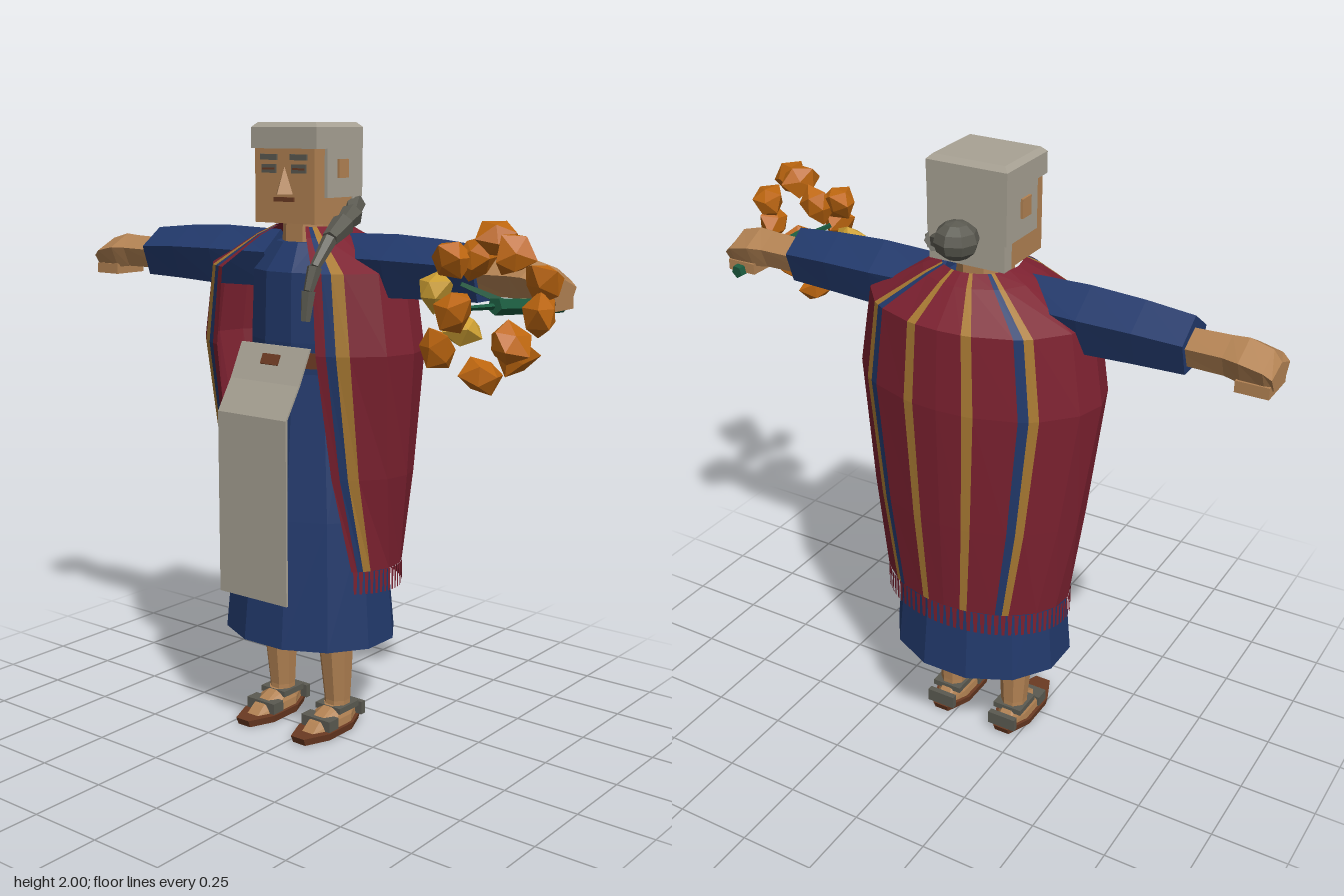
import * as THREE from 'three';

const CX = -0.075, CZ = -0.08, D = Math.PI / 180;

const mat = (name, color, side = THREE.FrontSide) => {
  const m = new THREE.MeshStandardMaterial({ color, side });
  m.name = name;
  return m;
};

// Faceted normals for any geometry
function flat(g) {
  const f = g.index ? g.toNonIndexed() : g;
  f.computeVertexNormals();
  return f;
}

function fromPoints(points) {
  const g = new THREE.BufferGeometry().setFromPoints(points);
  g.computeVertexNormals();
  return g;
}

// Skin closed rings of equal point count, optionally capping both ends
function loft(rings, capStart = true, capEnd = true) {
  const p = [], n = rings[0].length;
  for (let i = 0; i + 1 < rings.length; i++) for (let j = 0; j < n; j++) {
    const k = (j + 1) % n, A = rings[i], B = rings[i + 1];
    p.push(A[j], A[k], B[k], A[j], B[k], B[j]);
  }
  const last = rings[rings.length - 1];
  for (let j = 1; j < n - 1; j++) {
    if (capStart) p.push(rings[0][0], rings[0][j + 1], rings[0][j]);
    if (capEnd) p.push(last[0], last[j], last[j + 1]);
  }
  return fromPoints(p);
}

// Rings stacked in y: [y, halfWidth, halfDepth, centreX, centreZ]
const upright = (sections, n) => sections.map(([y, a, b, cx, cz]) =>
  Array.from({ length: n }, (_, j) => {
    const t = (j + 0.5) / n * Math.PI * 2, k = 1 / Math.cos(Math.PI / n);
    return new THREE.Vector3(cx + a * k * Math.sin(t), y, cz + b * k * Math.cos(t));
  }));

// Pentagon rings along an arm: [distance from body axis, centreY, ry, rz]
const sideways = (sections, s) => sections.map(([u, cy, ry, rz]) => {
  const r = Array.from({ length: 5 }, (_, j) => {
    const t = j / 5 * Math.PI * 2;
    return new THREE.Vector3(CX + s * u, cy + ry * Math.cos(t), -0.075 + rz * Math.sin(t));
  });
  return s > 0 ? r : r.reverse();
});

export function createModel() {
  const model = new THREE.Group();
  model.name = 'figure';
  const M = {
    skin: mat('skin', 0xb28253),
    pale: mat('pale grey', 0xa8a294, THREE.DoubleSide),
    dark: mat('dark grey', 0x5b5a51),
    blue: mat('dress blue', 0x22396b, THREE.DoubleSide),
    red: mat('shawl red', 0x7c2130, THREE.DoubleSide),
    ochre: mat('stripe ochre', 0xa97a33, THREE.DoubleSide),
    brown: mat('leather brown', 0x6b3a22),
    orange: mat('petal orange', 0xbd660f),
    yellow: mat('petal yellow', 0xcd9f33),
    green: mat('stem green', 0x1c5c40),
  };
  const add = (name, g, m, x = 0, y = 0, z = 0) => {
    const o = new THREE.Mesh(g, m);
    o.name = name;
    o.position.set(x, y, z);
    model.add(o);
    return o;
  };
  // Box given by its limits
  const box = (name, m, x0, x1, y0, y1, z0, z1) => add(name,
    new THREE.BoxGeometry(x1 - x0, y1 - y0, z1 - z0), m, (x0 + x1) / 2, (y0 + y1) / 2, (z0 + z1) / 2);
  const rod = (name, m, a, b, r0, r1, n = 5) => {
    const d = b.clone().sub(a), o = add(name, flat(new THREE.CylinderGeometry(r1, r0, d.length(), n)), m);
    o.position.copy(a).lerp(b, 0.5);
    o.quaternion.setFromUnitVectors(new THREE.Vector3(0, 1, 0), d.normalize());
    return o;
  };
  const V = (x, y, z) => new THREE.Vector3(x, y, z);

  // Dress, open at the hem
  add('dress', loft(upright([
    [0.33, 0.295, 0.25, CX, CZ], [0.75, 0.26, 0.21, CX, CZ], [1.22, 0.2, 0.16, CX, CZ],
    [1.32, 0.2, 0.165, CX, CZ], [1.54, 0.19, 0.16, CX, CZ], [1.63, 0.11, 0.1, CX, CZ],
  ], 12), false), M.blue);

  // Belt, apron and clasp
  add('belt', loft(upright([[1.24, 0.207, 0.17, CX, CZ], [1.29, 0.21, 0.172, CX, CZ]], 12)), M.brown);
  const path = [[1.31, 0.1], [1.2, 0.155], [1.1, 0.218], [0.5, 0.218]];
  add('apron', loft(path.map(([y, z]) => [V(CX + 0.14, y, z - 0.008), V(CX - 0.14, y, z - 0.008),
    V(CX - 0.14, y, z), V(CX + 0.14, y, z)])), M.pale);
  const clasp = box('clasp', M.brown, CX - 0.035, CX + 0.035, 1.25, 1.285, 0.119, 0.127);
  clasp.rotation.x = -0.46;

  // Striped shawl: levels are [y, halfWidth, halfDepth, centreZ, front edge angle from the back]
  const levels = [[1.68, 0.12, 0.12, -0.09, 152], [1.65, 0.185, 0.165, -0.085, 150], [1.55, 0.365, 0.262, -0.085, 150],
    [1.3, 0.405, 0.273, -0.087, 150], [0.9, 0.36, 0.24, -0.106, 143], [0.59, 0.32, 0.22, -0.11, 128]];
  const onShawl = ([y, a, b, cz, edge], deg) => {
    const t = deg / 150 * edge * D;
    return V(CX + a * Math.sin(t), y, cz - b * Math.cos(t));
  };
  const stops = [0, 12, 17, 37, 42, 47, 70, 90, 112, 133, 140, 145, 150];
  const tones = ['red', 'ochre', 'red', 'blue', 'ochre', 'red', 'red', 'red', 'red', 'ochre', 'blue', 'red'];
  const cloth = { red: [], ochre: [], blue: [] };
  for (const s of [1, -1]) tones.forEach((tone, j) => {
    const [d0, d1] = s > 0 ? [stops[j + 1], stops[j]] : [-stops[j], -stops[j + 1]];
    for (let i = 0; i + 1 < levels.length; i++) {
      const a = onShawl(levels[i], d0), b = onShawl(levels[i], d1);
      const c = onShawl(levels[i + 1], d1), d = onShawl(levels[i + 1], d0);
      cloth[tone].push(a, b, c, a, c, d);
    }
  });
  for (const tone in cloth) add(`shawl ${tone}`, fromPoints(cloth[tone]), M[tone]);

  // Fringe of tapered tabs
  const fringe = [], hem = levels[levels.length - 1], low = [0.515, ...hem.slice(1)];
  for (let d = -150; d < 149; d += 5) {
    const a = onShawl(hem, d + 3.6), b = onShawl(hem, d), c = onShawl(low, d + 0.7), e = onShawl(low, d + 2.9);
    fringe.push(a, b, c, a, c, e);
  }
  add('fringe', fromPoints(fringe), M.red);

  for (const s of [1, -1]) {
    // Sleeves and hands
    add('sleeve', loft(sideways([[0.12, 1.56, 0.1, 0.09], [0.35, 1.56, 0.105, 0.105],
      [0.52, 1.56, 0.097, 0.1], [0.67, 1.555, 0.088, 0.09]], s)), M.blue);
    add('hand', loft(sideways([[0.6, 1.55, 0.055, 0.068], [0.78, 1.552, 0.058, 0.075], [0.83, 1.55, 0.064, 0.088],
      [0.9, 1.537, 0.058, 0.085], [0.925, 1.525, 0.038, 0.075]], s)), M.skin);
    const u = CX + s * 0.87;
    box('fingers', M.skin, u - 0.05, u + 0.05, 1.475, 1.51, -0.14, -0.01);

    // Legs and sandals
    const x = CX + s * 0.12;
    add('leg', loft(upright([[0.04, 0.042, 0.042, x, -0.075], [0.1, 0.042, 0.04, x, -0.075],
      [0.3, 0.056, 0.055, x, -0.065], [0.45, 0.06, 0.06, x, -0.065]], 8)), M.skin);
    add('foot', loft(upright([[0.022, 0.055, 0.12, x, -0.03], [0.05, 0.052, 0.1, x, -0.045],
      [0.085, 0.038, 0.045, x, -0.07]], 8)), M.skin);
    add('sole', loft(upright([[0, 0.062, 0.145, x, -0.015], [0.025, 0.066, 0.155, x, -0.015]], 8)), M.brown);
    box('toe strap', M.dark, x - 0.06, x + 0.06, 0.022, 0.062, -0.005, 0.045);
    box('ankle strap', M.dark, x - 0.052, x + 0.052, 0.065, 0.085, -0.125, -0.022);
    box('heel strap', M.dark, x - 0.05, x + 0.05, 0.025, 0.07, -0.165, -0.145);

    // Eyes, brows and ears
    const e = CX + s * 0.06;
    box('eye', M.dark, e - 0.028, e + 0.028, 1.845, 1.872, 0.046, 0.056);
    box('brow', M.dark, e - 0.032, e + 0.032, 1.885, 1.903, 0.046, 0.058);
    box('eyelid', M.brown, e - 0.024, e + 0.024, 1.855, 1.861, 0.05, 0.058);
    const h = CX + s * 0.134;
    box('ear', M.skin, h - 0.005, h + 0.005, 1.83, 1.888, -0.1, -0.05);
  }

  // Head
  add('neck', loft(upright([[1.58, 0.085, 0.075, CX, -0.07], [1.72, 0.08, 0.07, CX, -0.07]], 8)), M.skin);
  box('face', M.skin, CX - 0.12, CX + 0.12, 1.69, 1.94, -0.14, 0.05);
  const nose = add('nose', flat(new THREE.ConeGeometry(0.037, 0.085, 4)), M.skin, CX, 1.823, 0.05);
  nose.scale.x = 0.9;
  box('mouth', M.brown, CX - 0.04, CX + 0.04, 1.757, 1.771, 0.046, 0.056);

  // Hair, bun and braid
  box('back hair', M.pale, CX - 0.131, CX + 0.131, 1.77, 1.94, -0.18, 0);
  box('nape hair', M.pale, CX - 0.125, CX + 0.125, 1.69, 1.78, -0.18, -0.138);
  add('hair cap', loft(upright([[1.92, 0.132, 0.118, CX, -0.063], [1.985, 0.132, 0.118, CX, -0.063],
    [2, 0.117, 0.103, CX, -0.063]], 4)), M.pale);
  const bun = add('bun', flat(new THREE.SphereGeometry(0.068, 8, 6)), M.dark, CX, 1.785, -0.235);
  bun.scale.y = 0.85;
  const braid = [V(-0.06, 1.765, -0.22), V(0.03, 1.745, -0.17), V(0.075, 1.715, -0.1), V(0.095, 1.69, -0.03),
    V(0.112, 1.65, 0.06), V(0.117, 1.57, 0.14), V(0.115, 1.5, 0.168), V(0.113, 1.41, 0.18)];
  for (let i = 0; i + 1 < braid.length; i++)
    rod('braid', M.dark, braid[i], braid[i + 1], 0.024 + (i < 4 ? 0.014 : 0), i < 4 ? 0.026 : 0.016, 6);

  // Bouquet in the left hand: [x, y, z, is yellow]
  const blooms = [[0.64, 1.635, 0.2], [0.7, 1.63, 0.15], [0.78, 1.69, 0.18], [0.88, 1.655, 0.26], [0.935, 1.585, 0.2],
    [0.94, 1.5, 0.22], [0.88, 1.425, 0.28], [0.86, 1.38, 0.2], [0.75, 1.315, 0.2], [0.61, 1.38, 0.2],
    [0.74, 1.51, 0.32], [0.65, 1.43, 0.15, 1], [0.56, 1.53, 0.14, 1]];
  const grip = V(0.77, 1.5, 0.08);
  blooms.forEach(([x, y, z, y2], i) => {
    const g = new THREE.IcosahedronGeometry(0.056, 0), p = g.attributes.position;
    for (let k = 0; k < p.count; k++) {
      const q = new THREE.Vector3().fromBufferAttribute(p, k);
      const w = 1 + 0.22 * Math.sin(q.x * 90 + q.y * 150 + q.z * 70 + i);
      p.setXYZ(k, q.x * w * 1.1, q.y * w, q.z * w);
    }
    g.computeVertexNormals();
    add('flower', g, y2 ? M.yellow : M.orange, x, y, z).rotation.set(i, i * 1.7, i * 0.6);
    if (i === 10) rod('thin stem', M.green, grip, V(x, y, z), 0.01, 0.006, 4);
  });
  rod('stem', M.green, V(0.8, 1.48, -0.16), V(0.765, 1.505, 0.16), 0.022, 0.026);
  rod('side stem', M.green, grip, V(0.66, 1.56, 0.17), 0.014, 0.008, 4);
  return model;
}
